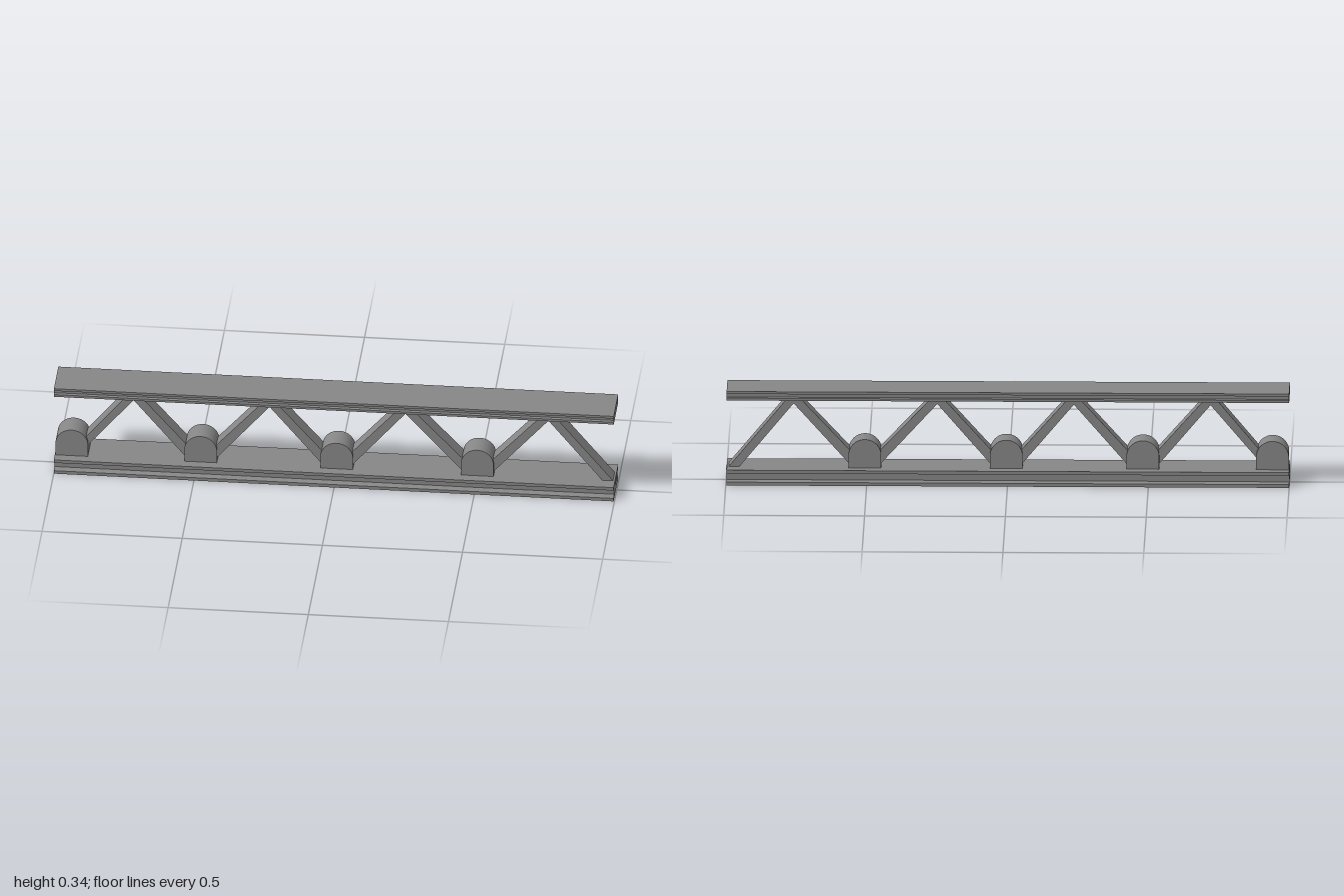
import * as THREE from 'three';

const material = new THREE.MeshStandardMaterial({ color: 0x868686, flatShading: true });

function extrude(points, depth, segments = 1) {
  const shape = points instanceof THREE.Shape ? points : new THREE.Shape(points.map(([x, y]) => new THREE.Vector2(x, y)));
  return new THREE.ExtrudeGeometry(shape, { depth, bevelEnabled: false, curveSegments: segments });
}

function add(group, name, geometry) {
  const mesh = new THREE.Mesh(geometry, material);
  mesh.name = name;
  group.add(mesh);
}

// I-section chord running along x: half widths of flange and web, flange edge and root heights
function chord(y0, y1, flange, web, edge, root) {
  const right = [
    [flange, y0], [flange, y0 + edge], [web, y0 + root],
    [web, y1 - root], [flange, y1 - edge], [flange, y1],
  ];
  const left = right.map(([x, y]) => [-x, y]).reverse();
  return extrude([...right, ...left], 1.997).rotateY(Math.PI / 2).translate(-1, 0, 0);
}

export function createModel() {
  const group = new THREE.Group();
  group.name = 'latticeGirder';

  add(group, 'bottomChord', chord(0, 0.056, 0.083, 0.06, 0.012, 0.016));
  add(group, 'topChord', chord(0.311, 0.344, 0.0795, 0.0675, 0.009, 0.01).translate(0, 0, -0.0015));

  // Zigzag web, with flattened peaks under the top chord and a square-cut last end
  const peaks = [-0.72, -0.235, 0.25, 0.76];
  const valleys = [-0.94, -0.48, 0.005, 0.507];
  const upper = [[-0.94, 0.07]];
  const lower = [[-0.905, 0.07]];
  peaks.forEach((p, i) => {
    upper.push([p - 0.015, 0.315], [p + 0.015, 0.315]);
    lower.push([p, 0.288]);
    if (i < 3) {
      const v = valleys[i + 1];
      upper.push([v, 0.06]);
      lower.push([v - 0.035, 0.045], [v + 0.035, 0.045]);
    }
  });
  upper.push([1, 0.044]);
  lower.push([0.978, 0.024]);
  add(group, 'zigzagWeb', extrude([...upper, ...lower.reverse()], 0.063).translate(0, 0, -0.029));

  // Round-topped blocks clamping the web to the bottom chord
  const r = 0.058;
  valleys.forEach((x, i) => {
    const shape = new THREE.Shape();
    shape.moveTo(-r, 0.05);
    shape.lineTo(r, 0.05);
    shape.lineTo(r, 0.102);
    shape.absarc(0, 0.102, r, 0, Math.PI, false);
    shape.closePath();
    add(group, `nodeBlock${i + 1}`, extrude(shape, 0.09, 24).translate(x, 0, -0.044));
  });

  return group;
}
